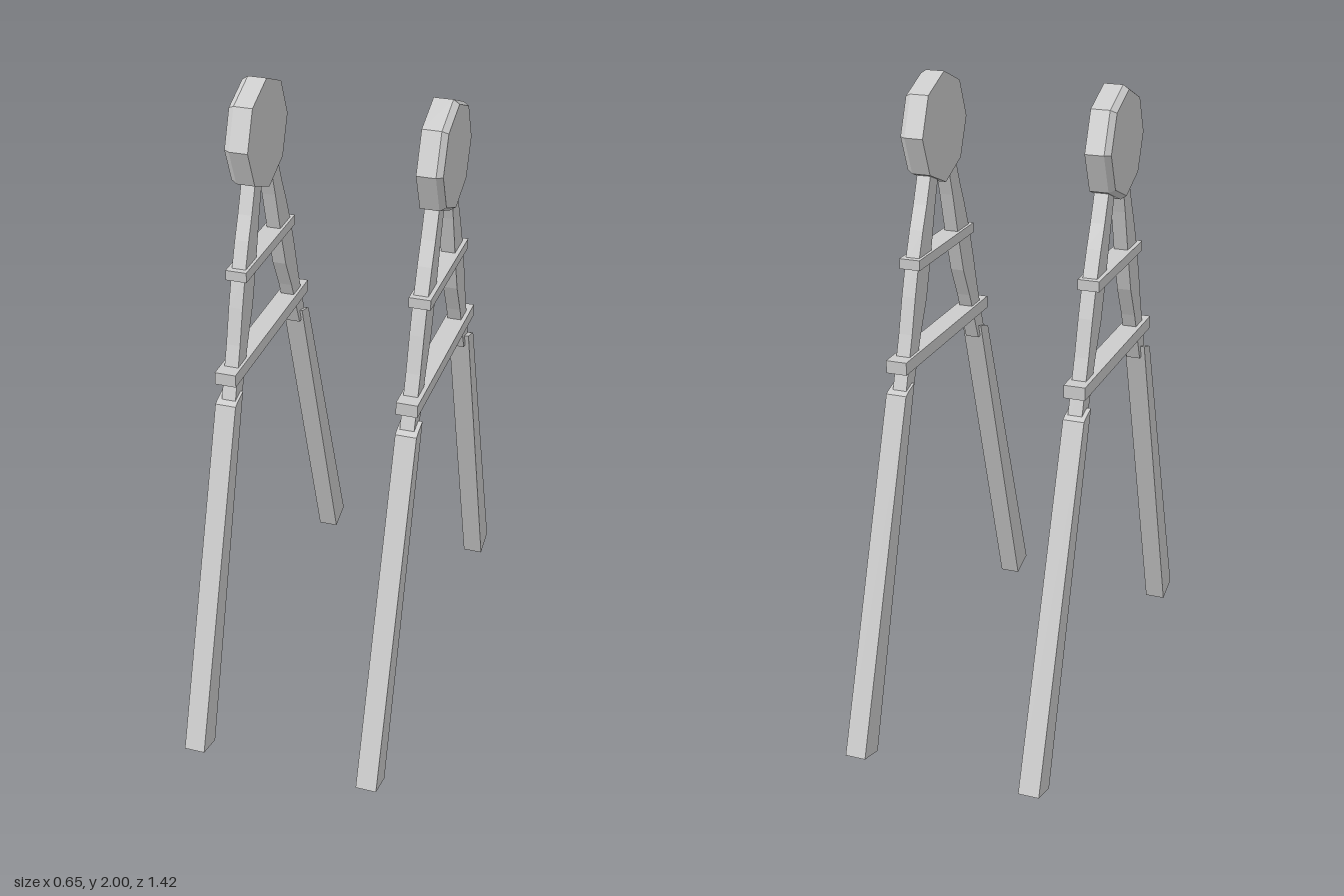
import * as THREE from 'three';

const material = new THREE.MeshStandardMaterial({ color: 0xcccccc, flatShading: true });

function part(name, geometry) {
  const mesh = new THREE.Mesh(geometry, material);
  mesh.name = name;
  return mesh;
}

// Side outline of [z, y] points, given thickness between two x positions
function slab(name, points, zSign, x0, x1) {
  const shape = new THREE.Shape(points.map(([z, y]) => new THREE.Vector2(z * zSign, y)));
  const geometry = new THREE.ExtrudeGeometry(shape, { depth: x1 - x0, bevelEnabled: false });
  geometry.rotateY(-Math.PI / 2).translate(x1, 0, 0);
  return part(name, geometry);
}

function rung(name, y0, y1, halfLength) {
  const geometry = new THREE.BoxGeometry(0.066, y1 - y0, halfLength * 2);
  geometry.translate(0.282, (y0 + y1) / 2, 0);
  return part(name, geometry);
}

function createFrame() {
  const frame = new THREE.Group();

  // Thick tapered lower posts and slim, hand-carved upper posts
  const lower = [[0.62, 0], [0.71, 0.025], [0.336, 1.08], [0.32, 1.087], [0.272, 1.1]];
  const upper = [
    [0.268, 1.06], [0.325, 1.06], [0.262, 1.25], [0.232, 1.36], [0.2, 1.46],
    [0.164, 1.55], [0.132, 1.62], [0.1, 1.7], [0.095, 1.74],
    [0.025, 1.74], [0.07, 1.6], [0.108, 1.46], [0.148, 1.33], [0.198, 1.23],
  ];
  for (const [label, sign] of [['front', 1], ['back', -1]]) {
    frame.add(slab(label + 'LowerPost', lower, sign, 0.25, 0.315));
    frame.add(slab(label + 'UpperPost', upper, sign, 0.258, 0.302));
  }

  // Cross bars
  frame.add(rung('upperRung', 1.44, 1.472, 0.215));
  frame.add(rung('lowerRung', 1.146, 1.186, 0.33));

  // Eight-sided hub, chamfered on the outer face
  const profile = [[0, 0.25], [0.17, 0.25], [0.17, 0.308], [0.158, 0.326], [0, 0.326]];
  const hub = new THREE.LatheGeometry(profile.map(([r, h]) => new THREE.Vector2(r, h)), 8);
  hub.rotateZ(-Math.PI / 2).translate(0, 1.83, 0);
  frame.add(part('hub', hub));
  return frame;
}

export function createModel() {
  const model = new THREE.Group();
  model.name = 'pairOfTrestles';
  const left = createFrame();
  left.name = 'leftTrestle';
  const right = createFrame();
  right.name = 'rightTrestle';
  right.rotation.y = Math.PI;
  model.add(left, right);
  return model;
}
